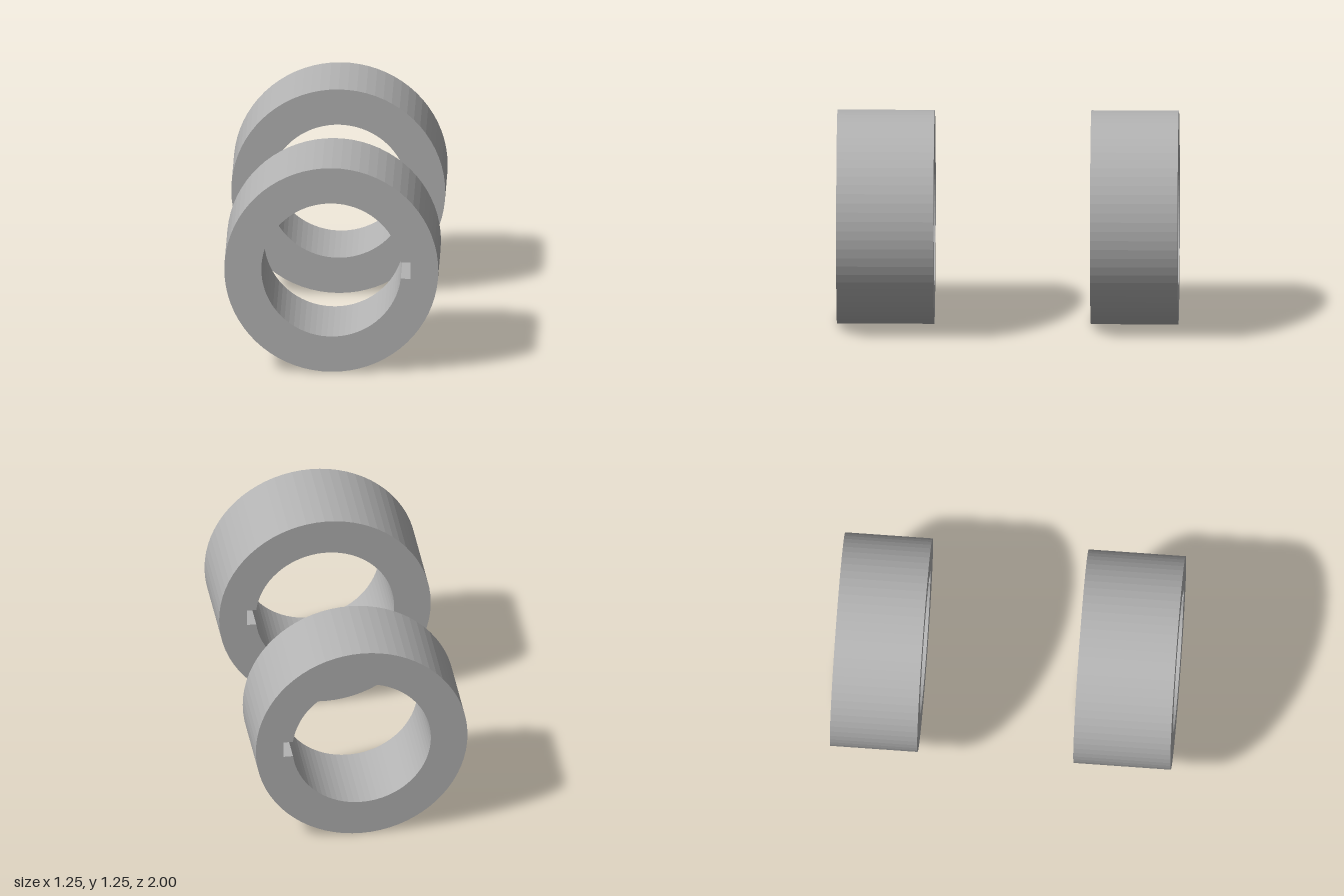
import * as THREE from 'three';

const OUTER = 0.627, BORE = 0.41, CENTRE_Y = 0.628;
const KEY_HALF = 0.05, KEY_DEPTH = 0.463;

// Ring profile: round outside, bore with a rectangular keyway on the +x side
function ringProfile() {
  const shape = new THREE.Shape();
  shape.absarc(0, 0, OUTER, 0, Math.PI * 2, false);

  const a = Math.asin(KEY_HALF / BORE);
  const bore = new THREE.Path();
  bore.absarc(0, 0, BORE, a, Math.PI * 2 - a, false);
  bore.lineTo(KEY_DEPTH, -KEY_HALF);
  bore.lineTo(KEY_DEPTH, KEY_HALF);
  bore.closePath();
  shape.holes.push(bore);
  return shape;
}

export function createModel() {
  const group = new THREE.Group();
  group.name = 'keyedSpacerRings';

  const steel = new THREE.MeshStandardMaterial({ color: 0xb3b3b3 });
  steel.name = 'grey steel';

  // Two coaxial rings; the front one is slightly longer
  const rings = [
    { name: 'frontRing', z: 0.43, length: 0.57 },
    { name: 'backRing', z: -1, length: 0.513 },
  ];
  for (const { name, z, length } of rings) {
    const geometry = new THREE.ExtrudeGeometry(ringProfile(), {
      depth: length, bevelEnabled: false, curveSegments: 36,
    });
    const ring = new THREE.Mesh(geometry, steel);
    ring.name = name;
    ring.position.set(0, CENTRE_Y, z);
    group.add(ring);
  }
  return group;
}
